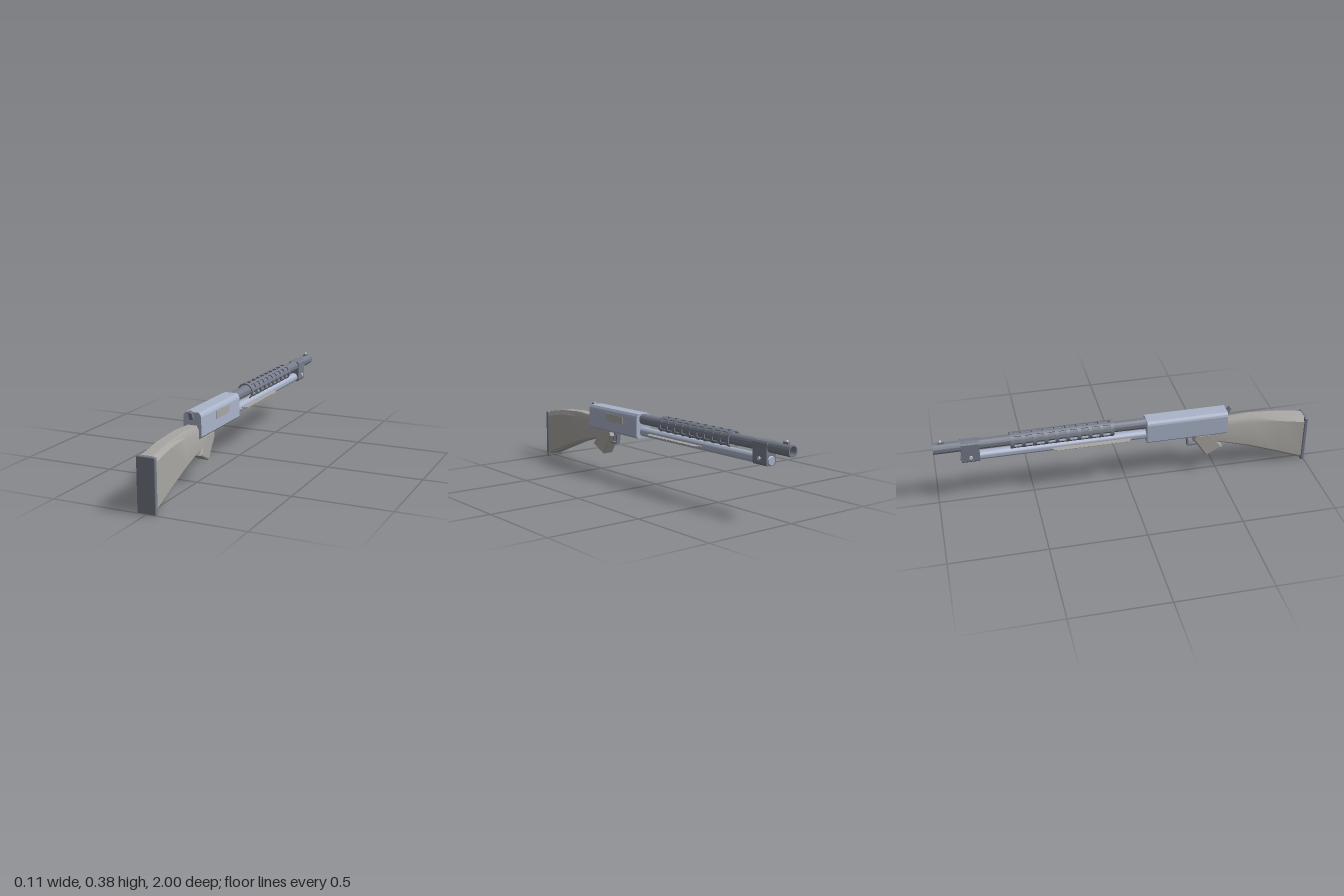
import * as THREE from 'three';
import { toCreasedNormals } from 'three/addons/utils/BufferGeometryUtils.js';
import { RoundedBoxGeometry } from 'three/addons/geometries/RoundedBoxGeometry.js';

const mat = (name, color, side = THREE.FrontSide) => {
  const m = new THREE.MeshStandardMaterial({ color, side });
  m.name = name;
  return m;
};

export function createModel() {
  const group = new THREE.Group();
  const darkSteel = mat('dark steel', 0x767c8a);
  const paleSteel = mat('pale steel', 0xaab4ca);
  const furniture = mat('warm grey', 0xa9a7a3);
  const boltGrey = mat('bolt grey', 0xc8ccd2);

  const add = (name, geo, material, x = 0, y = 0, z = 0, parent = group) => {
    const mesh = new THREE.Mesh(geo, material);
    mesh.name = name;
    mesh.position.set(x, y, z);
    parent.add(mesh);
    return mesh;
  };
  const shapeOf = pts => new THREE.Shape(pts.map(p => new THREE.Vector2(...p)));
  // outline in (x, y), running from z0 to z1
  const along = (shape, z0, z1) => new THREE.ExtrudeGeometry(shape,
    { depth: z1 - z0, bevelEnabled: false, curveSegments: 8 }).translate(0, 0, z0);
  // outline in (z, y), centred across x
  const across = (pts, width, bevel = 0) => {
    const g = new THREE.ExtrudeGeometry(shapeOf(pts), {
      depth: width - 2 * bevel, bevelEnabled: bevel > 0, bevelSize: bevel,
      bevelThickness: bevel, bevelOffset: -bevel, bevelSegments: 2 });
    return g.translate(0, 0, bevel - width / 2).rotateY(-Math.PI / 2);
  };
  // (radius, distance) profile turned about the z axis, heading to -z
  const turned = pts => toCreasedNormals(new THREE.LatheGeometry(
    pts.map(p => new THREE.Vector2(...p)), 28).rotateX(-Math.PI / 2), 0.6);
  const bar = (name, a, b, width, t) => {
    const dz = b[0] - a[0], dy = b[1] - a[1];
    const m = add(name, new THREE.BoxGeometry(width, t, Math.hypot(dz, dy) + t), darkSteel,
      0, (a[1] + b[1]) / 2, (a[0] + b[0]) / 2);
    m.rotation.x = -Math.atan2(dy, dz);
  };

  // stock: chamfered sections [z, bottom, top, half width] joined from front to back
  const sections = [
    [0.45, 0.185, 0.297, 0.034], [0.54, 0.17, 0.302, 0.036], [0.68, 0.128, 0.308, 0.039],
    [0.84, 0.067, 0.297, 0.042], [0.983, 0.01, 0.272, 0.045]];
  const verts = [], index = [], n = 8;
  for (const [z, b, t, w] of sections) {
    const c = (t - b) * 0.06, d = 0.026;
    for (const [x, y] of [[w, b + c], [w, t - d], [w * 0.66, t], [-w * 0.66, t],
      [-w, t - d], [-w, b + c], [-w * 0.8, b], [w * 0.8, b]]) verts.push(x, y, z);
  }
  for (let s = 0; s < sections.length - 1; s++)
    for (let i = 0; i < n; i++) {
      const a = s * n + i, b = s * n + (i + 1) % n;
      index.push(a, b, b + n, a, b + n, a + n);
    }
  const last = (sections.length - 1) * n;
  for (let i = 1; i < n - 1; i++) {
    index.push(0, i + 1, i);
    index.push(last, last + i, last + i + 1);
  }
  const stock = new THREE.BufferGeometry();
  stock.setAttribute('position', new THREE.Float32BufferAttribute(verts, 3));
  stock.setIndex(index);
  add('stock', toCreasedNormals(stock, 0.5), furniture);
  add('buttPad', new RoundedBoxGeometry(0.098, 0.272, 0.02, 2, 0.006), darkSteel, 0, 0.136, 0.99);

  // receiver with chamfered top and bottom edges
  const half = [[0.036, 0.235], [0.048, 0.247], [0.048, 0.345], [0.044, 0.355], [0.035, 0.367]];
  const outline = [...half, ...half.map(([x, y]) => [-x, y]).reverse()];
  add('receiver', along(shapeOf(outline), 0.105, 0.543), paleSteel);
  add('ejectionPort', new THREE.BoxGeometry(0.006, 0.041, 0.145), furniture, 0.0475, 0.318, 0.303);
  add('hammer', across([[0.53, 0.335], [0.555, 0.33], [0.572, 0.368], [0.56, 0.378], [0.545, 0.362]], 0.021, 0.003), darkSteel);

  // grip, trigger guard and trigger
  add('grip', across([[0.46, 0.238], [0.526, 0.146], [0.435, 0.1], [0.364, 0.21], [0.372, 0.238]], 0.07, 0.008), furniture);
  bar('triggerGuardBase', [0.4, 0.17], [0.339, 0.17], 0.024, 0.008);
  bar('triggerGuardFront', [0.339, 0.17], [0.331, 0.236], 0.024, 0.008);
  bar('trigger', [0.372, 0.19], [0.36, 0.236], 0.01, 0.008);

  // barrel with open bore, and the tube beneath it
  add('barrel', turned([[0, -0.105], [0.0285, -0.105], [0.0285, 1], [0.022, 1], [0.022, 0.9], [0, 0.9]]),
    darkSteel, 0, 0.338, 0);
  add('magazineTube', turned([[0, -0.105], [0.0245, -0.105], [0.0245, 0.862], [0.02, 0.867], [0, 0.867]]),
    paleSteel, 0, 0.27, 0);

  // front sight
  add('sightBase', new THREE.BoxGeometry(0.014, 0.014, 0.032), darkSteel, 0, 0.369, -0.957);
  add('sightBead', new THREE.SphereGeometry(0.008, 12, 8), boltGrey, 0, 0.377, -0.96);

  // clamp joining barrel and tube
  const ch = [[0.022, 0.247], [0.031, 0.257], [0.031, 0.355], [0.024, 0.364]];
  add('clamp', along(shapeOf([...ch, ...ch.map(([x, y]) => [-x, y]).reverse()]), -0.862, -0.768), darkSteel);
  for (const s of [-1, 1])
    add('clampBolt', new THREE.CylinderGeometry(0.009, 0.009, 0.01, 12).rotateZ(Math.PI / 2),
      boltGrey, s * 0.034, 0.28, -0.815);

  // slotted heat shield: ribs around the barrel joined by lengthwise strips
  const shield = new THREE.Group();
  shield.name = 'heatShield';
  group.add(shield);
  const band = (a0, a1, z0, z1) => {
    const s = new THREE.Shape(), r = THREE.MathUtils.degToRad;
    s.absarc(0, 0, 0.043, r(a0), r(a1), false);
    s.absarc(0, 0, 0.037, r(a1), r(a0), true);
    const g = new THREE.ExtrudeGeometry(s, { depth: z1 - z0, bevelEnabled: false,
      curveSegments: a1 - a0 > 90 ? 20 : 3 });
    return g.translate(0, 0, z0);
  };
  for (let i = 0; i < 10; i++) {
    const z = -0.08 - i * 0.0578;
    add('shieldRib', band(-55, 235, z - 0.01, z + 0.01), darkSteel, 0, 0.335, 0, shield);
  }
  for (const a of [-35, 15, 65, 115, 165, 215])
    add('shieldStrip', band(a - 9, a + 9, -0.605, -0.075), darkSteel, 0, 0.3348, 0, shield);

  // thin fore-end plate with notched edges
  const edge = [[0.03, 0.02]], teeth = 16, pitch = 0.39 / teeth;
  for (let i = 0; i < teeth; i++) {
    const z = 0.005 - i * pitch;
    edge.push([0.055, z], [0.055, z - pitch * 0.6], [0.05, z - pitch * 0.7], [0.05, z - pitch * 0.9]);
  }
  edge.push([0.03, -0.4]);
  const plate = shapeOf([...edge, ...edge.map(([x, z]) => [-x, z]).reverse()]);
  add('foreEnd', new THREE.ExtrudeGeometry(plate, { depth: 0.004, bevelEnabled: false })
    .translate(0, 0, -0.002).scale(1, -1, 1).rotateX(-Math.PI / 2), furniture, 0, 0.27, 0)
    .material = mat('fore-end grey', 0xa9a7a3, THREE.DoubleSide);

  return group;
}
